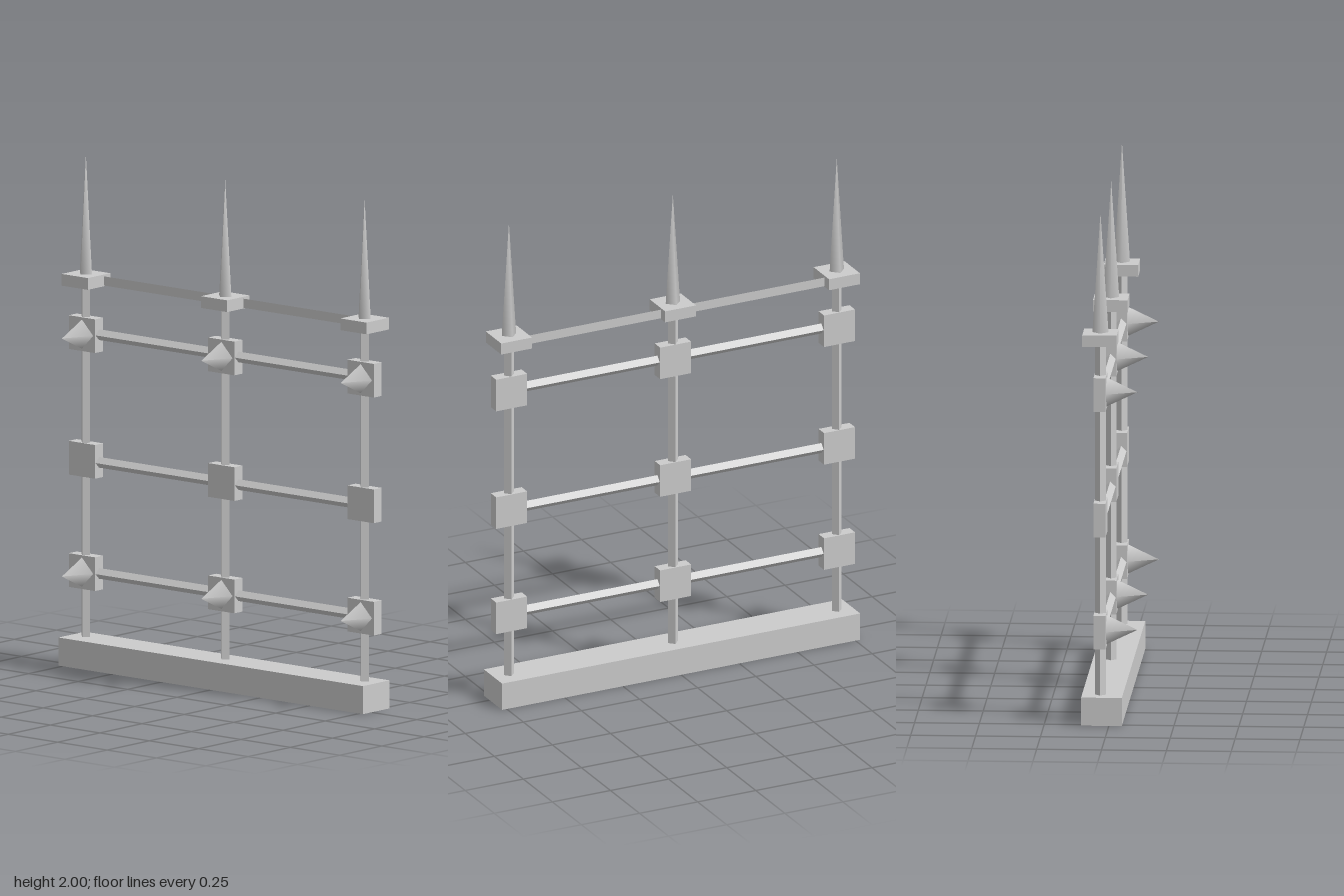
import * as THREE from 'three';

export function createModel() {
  const model = new THREE.Group();
  const iron = new THREE.MeshStandardMaterial({ color: 0xcccccc, side: THREE.DoubleSide });
  iron.name = 'greyIron';
  const Z = -0.036; // plane of the railing
  const postXs = [-0.705, 0, 0.705];

  const add = (name, geometry, x, y, z) => {
    const mesh = new THREE.Mesh(geometry, iron);
    mesh.name = name;
    mesh.position.set(x, y, z);
    model.add(mesh);
    return mesh;
  };

  // Four-sided bar with crisp edges, turned corner-forward
  const diamondBar = (length) => {
    const g = new THREE.CylinderGeometry(0.021, 0.021, length, 4).toNonIndexed();
    g.computeVertexNormals();
    return g;
  };

  // Base beam
  add('base', new THREE.BoxGeometry(1.54, 0.11, 0.157), 0, 0.055, -0.0285);

  // Horizontal rails and the thin top strip
  for (const y of [0.365, 0.8, 1.3]) {
    add('rail', diamondBar(1.41), 0, y, Z).rotation.z = Math.PI / 2;
  }
  add('topStrip', new THREE.PlaneGeometry(1.41, 0.036), 0, 1.506, -0.065);

  for (const x of postXs) {
    // Upright, its cap plate and the tall finial
    add('post', diamondBar(1.4), x, 0.8, Z);
    add('capPlate', new THREE.BoxGeometry(0.133, 0.046, 0.133), x, 1.508, Z);
    const height = x === 0 ? 0.455 : 0.47;
    add('finial', new THREE.ConeGeometry(0.031, height, 4, 1, true), x, 1.53 + height / 2, Z);

    // Blocks where rails cross the post, with spikes on the upper and lower ones
    for (const y of [0.365, 0.805, 1.297]) {
      add('block', new THREE.BoxGeometry(0.133, 0.132, 0.047), x, y, Z);
      if (y !== 0.805) {
        add('frontSpike', new THREE.ConeGeometry(0.057, 0.119, 4, 1, true), x, y, 0.047).rotation.x = Math.PI / 2;
      }
    }
  }
  return model;
}
